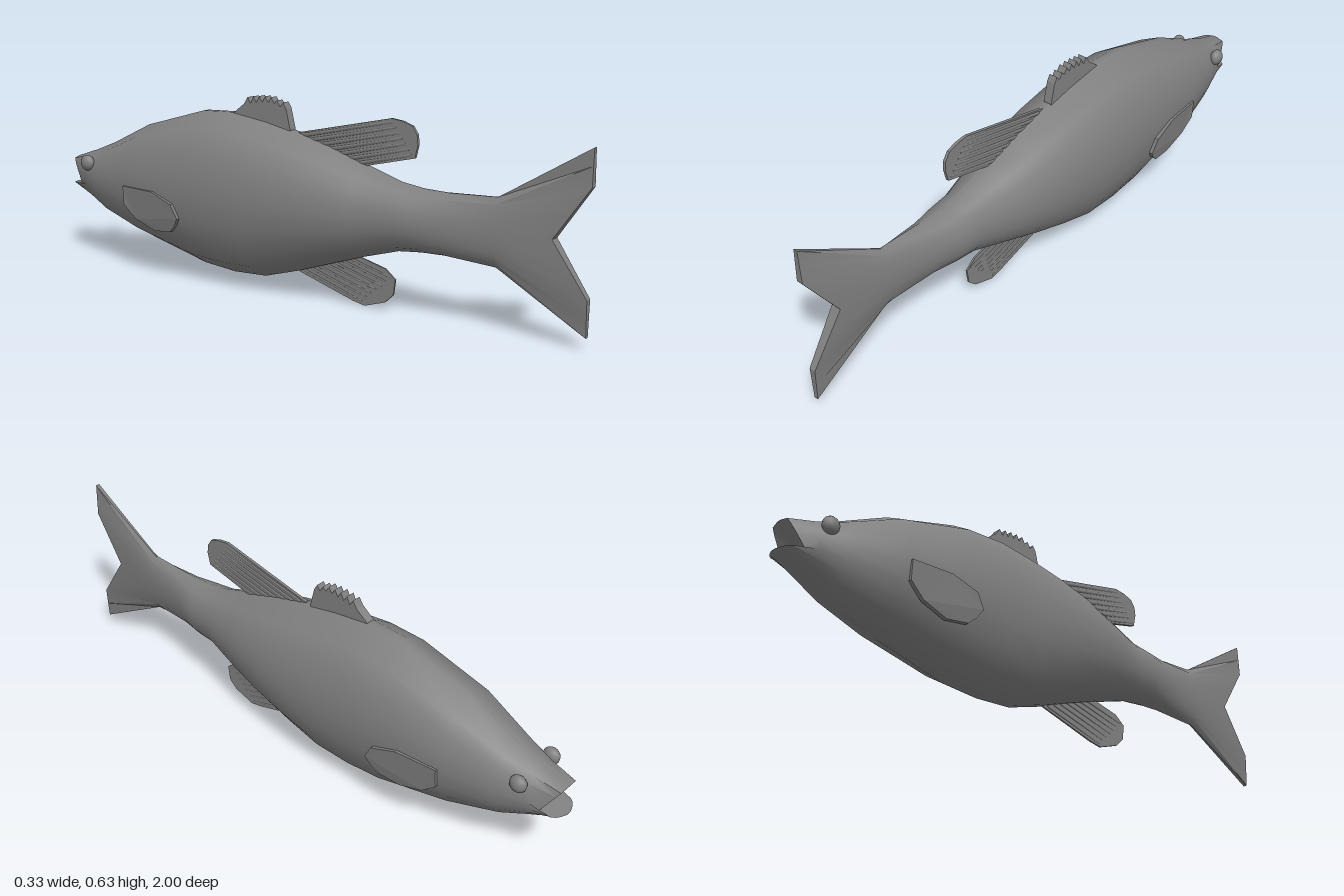
import * as THREE from 'three';
import { toCreasedNormals } from 'three/addons/utils/BufferGeometryUtils.js';

const skin = new THREE.MeshStandardMaterial({ color: 0x808080 });
skin.name = 'grey skin';

// half cross-section, top to bottom: height factor and width factor
const V = [1, 0.81, 0.59, 0.31, 0, -0.31, -0.59, -0.81, -1];
const W = [0.075, 0.59, 0.81, 0.95, 1, 0.95, 0.81, 0.59, 0.075];

// body stations: z, top, bottom, half width
const STATIONS = [
  [-0.9, 0.385, 0.21, 0.078], [-0.81, 0.42, 0.165, 0.104], [-0.64, 0.5, 0.11, 0.145],
  [-0.39, 0.57, 0.045, 0.16], [-0.26, 0.575, 0.034, 0.163], [-0.13, 0.557, 0.04, 0.162],
  [0, 0.53, 0.078, 0.156], [0.13, 0.495, 0.122, 0.143], [0.25, 0.455, 0.162, 0.118],
  [0.38, 0.415, 0.2, 0.082], [0.46, 0.404, 0.208, 0.078], [0.54, 0.402, 0.21, 0.055],
  [0.71, 0.41, 0.2, 0.03],
];

function makeBody() {
  const rings = [];
  // lips: an arched upper lip and a flat lower jaw
  rings.push(V.map((v, k) => {
    if (k <= 4) {
      const t = k / 4;
      return [k === 0 ? 0.008 : 0.03 + 0.026 * t, 0.355 - 0.088 * t * t, -0.99 + 0.055 * t * t];
    }
    const t = (k - 4) / 4;
    return [0.056 - 0.048 * t * t, 0.265 - 0.005 * t, -0.945 - 0.055 * Math.sqrt(t)];
  }));
  for (const [z, top, bottom, w] of STATIONS)
    rings.push(V.map((v, k) => [w * W[k], (top + bottom) / 2 + v * (top - bottom) / 2, z]));
  // forked tail edge
  rings.push(V.map((v) => [0.017 * (1 - 0.6 * Math.abs(v)), 0.3125 + 0.2725 * v,
    0.89 + 0.11 * Math.min(1, Math.abs(v) / 0.59)]));

  const pos = [], index = [], half = V.length, n = half * 2;
  for (const ring of rings) {
    for (const p of ring) pos.push(...p);
    for (const p of [...ring].reverse()) pos.push(-p[0], p[1], p[2]);
  }
  for (let i = 0; i < rings.length - 1; i++)
    for (let k = 0; k < n; k++) {
      const a = i * n + k, b = i * n + (k + 1) % n;
      index.push(a, a + n, b, b, a + n, b + n);
    }
  // mouth hollow
  const mouth = pos.length / 3;
  pos.push(0, 0.275, -0.9);
  for (let k = 0; k < n; k++) index.push(mouth, k, (k + 1) % n);
  // trailing face of the tail
  const last = (rings.length - 1) * n;
  for (let k = 0; k < half - 1; k++) {
    const p = last + k, m = last + n - 1 - k;
    index.push(p, m, p + 1, m, m - 1, p + 1);
  }
  const geo = new THREE.BufferGeometry();
  geo.setAttribute('position', new THREE.Float32BufferAttribute(pos, 3));
  geo.setIndex(index);
  return toCreasedNormals(geo, 0.6);
}

// flat plate from a (z, y) outline, centred on x = 0
function plate(outline, thickness) {
  const shape = new THREE.Shape(outline.map(([z, y]) => new THREE.Vector2(z, y)));
  const geo = new THREE.ExtrudeGeometry(shape, { depth: thickness, bevelEnabled: false });
  return geo.translate(0, 0, -thickness / 2).rotateY(-Math.PI / 2);
}

// slim rod between two (z, y) points
function rod(a, b, radius) {
  const from = new THREE.Vector3(0, a[1], a[0]), to = new THREE.Vector3(0, b[1], b[0]);
  const dir = to.clone().sub(from);
  const geo = new THREE.CylinderGeometry(radius * 0.7, radius, dir.length(), 6);
  geo.applyQuaternion(new THREE.Quaternion().setFromUnitVectors(
    new THREE.Vector3(0, 1, 0), dir.normalize()));
  from.lerp(to, 0.5);
  return geo.translate(from.x, from.y, from.z);
}

export function createModel() {
  const group = new THREE.Group();
  const add = (name, geo, parent = group) => {
    const mesh = new THREE.Mesh(geo, skin);
    mesh.name = name;
    parent.add(mesh);
    return mesh;
  };
  const mix = (a, b, t) => [a[0] + (b[0] - a[0]) * t, a[1] + (b[1] - a[1]) * t];

  add('body', makeBody());

  // soft fins: thin plate with a fan of rays
  const rayedFin = (name, outline, thick, radius, s0, s1, e0, e1) => {
    const fin = new THREE.Group();
    fin.name = name;
    group.add(fin);
    add(name + 'Web', plate(outline, thick), fin);
    for (let i = 0; i < 7; i++)
      add(name + 'Ray', rod(mix(s0, s1, i / 6), mix(e0, e1, i / 6), radius), fin);
  };
  rayedFin('rearDorsalFin', [[0, 0.5], [0, 0.532], [0.345, 0.607], [0.385, 0.602], [0.42, 0.59],
    [0.437, 0.565], [0.44, 0.535], [0.43, 0.493], [0.25, 0.45], [0.15, 0.45]],
  0.01, 0.009, [0.02, 0.525], [0.22, 0.455], [0.35, 0.596], [0.42, 0.502]);
  rayedFin('analFin', [[0, 0.1], [0, 0.075], [0.21, 0.012], [0.255, 0.003], [0.33, 0.027],
    [0.36, 0.055], [0.367, 0.105], [0.33, 0.135], [0.19, 0.17]],
  0.006, 0.006, [0.02, 0.082], [0.19, 0.15], [0.25, 0.014], [0.35, 0.11]);

  // spiny fin with a saw-toothed crest
  const crest = [[-0.26, 0.54], [-0.26, 0.573], [-0.215, 0.607]];
  for (let i = 0; i < 7; i++) {
    const z = -0.2 + i * 0.024, y = 0.638 - 0.0009 * (i - 3) ** 2 - (i > 4 ? 0.006 : 0);
    crest.push([z, y], [z + 0.012, y - 0.02]);
  }
  crest.push([-0.028, 0.54], [-0.028, 0.51]);
  add('spinyDorsalFin', plate(crest, 0.03));

  // pectoral fins lie along the flanks and lift off toward the rear
  const paddle = [[-0.64, 0.24], [-0.64, 0.305], [-0.5, 0.303], [-0.41, 0.272], [-0.385, 0.225],
    [-0.405, 0.195], [-0.43, 0.172], [-0.505, 0.165], [-0.59, 0.195]];
  for (const side of [1, -1]) {
    const label = side > 0 ? 'left' : 'right';
    const geo = plate(paddle, 0.014);
    const p = geo.attributes.position;
    for (let i = 0; i < p.count; i++) {
      const drop = (0.3 - p.getY(i)) / 0.13;
      p.setX(i, p.getX(i) + side * (0.145 + 0.07 * (p.getZ(i) + 0.64) - 0.018 * drop * drop));
    }
    geo.computeVertexNormals();
    add(label + 'PectoralFin', geo);

    const eye = add(label + 'Eye', new THREE.SphereGeometry(0.028, 12, 8));
    eye.scale.x = 0.75;
    eye.position.set(side * 0.083, 0.35, -0.875);
  }
  return group;
}
